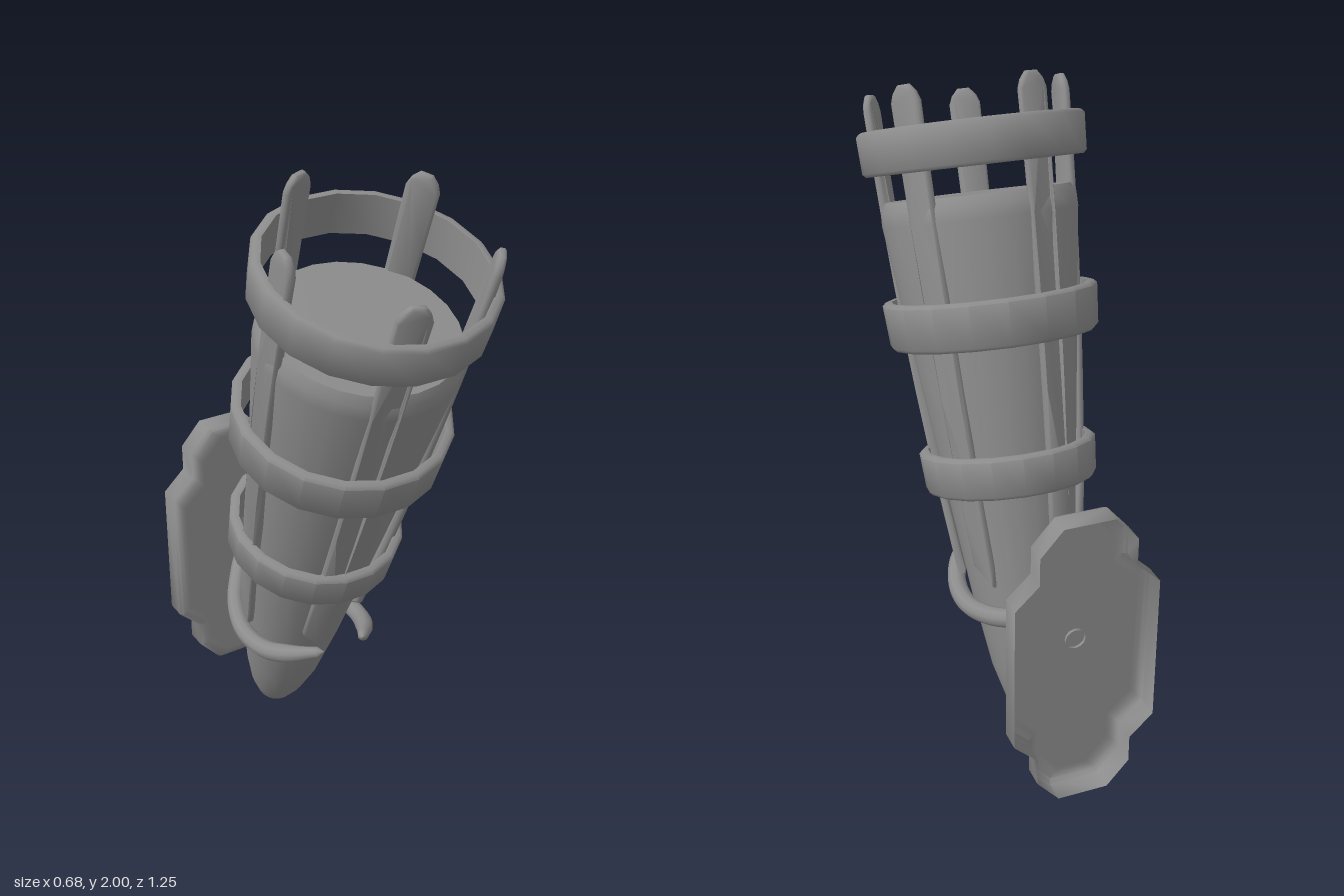
import * as THREE from 'three';
import { toCreasedNormals } from 'three/addons/utils/BufferGeometryUtils.js';

const material = new THREE.MeshStandardMaterial({ color: 0x8c8c8c, side: THREE.DoubleSide });

function part(name, geometry, crease = 0.6) {
  const mesh = new THREE.Mesh(toCreasedNormals(geometry, crease), material);
  mesh.name = name;
  return mesh;
}

const toVectors = pts => pts.map(p => new THREE.Vector2(...p));

// Tapered hoop with rounded edges, centred on height y
function hoop(y, height, rBottom, rTop) {
  const t = 0.028, c = 0.01, h = height / 2;
  return new THREE.LatheGeometry(toVectors([
    [rBottom - c, y - h], [rBottom, y - h + c], [rTop, y + h - c], [rTop - c, y + h],
    [rTop - t, y + h], [rBottom - t, y - h], [rBottom - c, y - h],
  ]), 18, Math.PI / 18);
}

// Distance of the slats from the torch axis at height s
const slatRadius = s => {
  const u = (s - 0.53) / 1.48;
  return 0.185 + 0.19 * u - 0.076 * u * u;
};

// Slat: skewed point at the bottom, rounded top, bowed outward along its length
function slatGeometry() {
  const right = [], left = [];
  for (let i = 0; i <= 8; i++) {
    const s = 0.6 + i * 0.17, w = 0.033 + 0.015 * i / 8;
    right.push([w, s]);
    left.unshift([-w, s]);
  }
  const outline = [[0.025, 0.53], ...right, [0.038, 1.985], [0.018, 2.007],
    [-0.018, 2.007], [-0.038, 1.985], ...left];
  const b = 0.006;
  const geo = new THREE.ExtrudeGeometry(new THREE.Shape(toVectors(outline)), {
    depth: 0.012, bevelThickness: b, bevelSize: b, bevelOffset: -b, bevelSegments: 1,
  });
  const pos = geo.attributes.position;
  for (let i = 0; i < pos.count; i++) {
    pos.setZ(i, pos.getZ(i) - 0.006 + slatRadius(pos.getY(i)));
  }
  return geo;
}

// Round rod along a curve, narrowing near its far end, with a domed tip
function rodGeometry(points, radius) {
  const curve = new THREE.CatmullRomCurve3(points.map(p => new THREE.Vector3(...p)));
  const segs = 36, sides = 10;
  const geo = new THREE.TubeGeometry(curve, segs, radius, sides);
  const pos = geo.attributes.position, v = new THREE.Vector3();
  for (let i = 0; i < pos.count; i++) {
    const ring = Math.floor(i / (sides + 1)), u = ring / segs;
    const centre = curve.getPointAt(u);
    const k = ring === segs ? 0 : 1 - 0.45 * THREE.MathUtils.smoothstep(u, 0.8, 1);
    v.fromBufferAttribute(pos, i).sub(centre).multiplyScalar(k).add(centre);
    pos.setXYZ(i, v.x, v.y, v.z);
  }
  return geo;
}

// Wall plate: hollow shell, open at the back, with a rounded front rim
function plateGeometry() {
  const corner = [[0.217, 0.232], [0.145, 0.3], [0.145, 0.386], [0.077, 0.463]];
  const back = [...corner].reverse();
  const outline = [
    ...corner, ...back.map(([x, y]) => [-x, y]),
    ...corner.map(([x, y]) => [-x, -y]), ...back.map(([x, y]) => [x, -y]),
  ];
  const n = outline.length, vertices = [], index = [];
  // Each ring: depth and inset from the outline
  const rings = [[-0.625, 0], [-0.558, 0], [-0.543, 0.007], [-0.537, 0.022], [-0.537, 0.035]];
  rings.forEach(([z, inset], r) => outline.forEach(([x, y], i) => {
    vertices.push(x - Math.sign(x) * inset, y - Math.sign(y) * inset, z);
    if (r === 0) return;
    const a = (r - 1) * n + i, b = (r - 1) * n + (i + 1) % n;
    index.push(a, b, b + n, a, b + n, a + n);
  }));
  // Flat front face
  const centre = rings.length * n, last = centre - n;
  vertices.push(0, 0, -0.537);
  for (let i = 0; i < n; i++) index.push(last + i, last + (i + 1) % n, centre);
  const geo = new THREE.BufferGeometry();
  geo.setAttribute('position', new THREE.Float32BufferAttribute(vertices, 3));
  geo.setIndex(index);
  return geo.translate(0, 0.487, 0);
}

export function createModel() {
  const model = new THREE.Group();
  model.name = 'wallTorch';

  // Leaning torch, built upright along y
  const torch = new THREE.Group();
  torch.name = 'torch';
  torch.position.set(0, 0, -0.295);
  torch.rotation.x = THREE.MathUtils.degToRad(18.5);
  model.add(torch);

  torch.add(part('torchBody', new THREE.LatheGeometry(toVectors([
    [0, 0], [0.03, 0.01], [0.06, 0.05], [0.092, 0.12], [0.125, 0.24],
    [0.16, 0.47], [0.227, 1.05], [0.293, 1.62], [0.292, 1.66], [0.276, 1.688], [0, 1.69],
  ]), 24), 0.8));

  // Hoops: height along the axis, band height, bottom and top radius
  [[0.874, 0.125, 0.261, 0.269], [1.325, 0.14, 0.314, 0.323], [1.831, 0.128, 0.333, 0.338]]
    .forEach(([y, h, r0, r1], i) => torch.add(part('hoop' + (i + 1), hoop(y, h, r0, r1), 0.9)));

  // Five slats evenly spaced around the body
  for (let i = 0; i < 5; i++) {
    const slat = part('slat' + (i + 1), slatGeometry(), 0.9);
    slat.rotation.y = THREE.MathUtils.degToRad(-17 + 72 * i);
    torch.add(slat);
  }

  // Forked bracket holding the torch
  for (const side of [1, -1]) {
    const path = [
      [0.004, 0.522, -0.53], [0.022, 0.515, -0.45], [0.08, 0.495, -0.37],
      [0.147, 0.457, -0.27], [0.183, 0.43, -0.15], [0.178, 0.432, -0.03],
      [0.142, 0.455, 0.06], [0.07, 0.497, 0.16],
    ].map(([x, y, z]) => [side * x, y, z]);
    model.add(part(side > 0 ? 'leftBracketArm' : 'rightBracketArm', rodGeometry(path, 0.029), 1));
  }
  // Hollow stem joining the fork to the plate
  const stem = new THREE.CylinderGeometry(0.031, 0.031, 0.075, 12, 1, true);
  stem.rotateX(Math.PI / 2).translate(0, 0.522, -0.508);
  model.add(part('bracketStem', stem));

  model.add(part('wallPlate', plateGeometry(), 0.9));
  return model;
}
